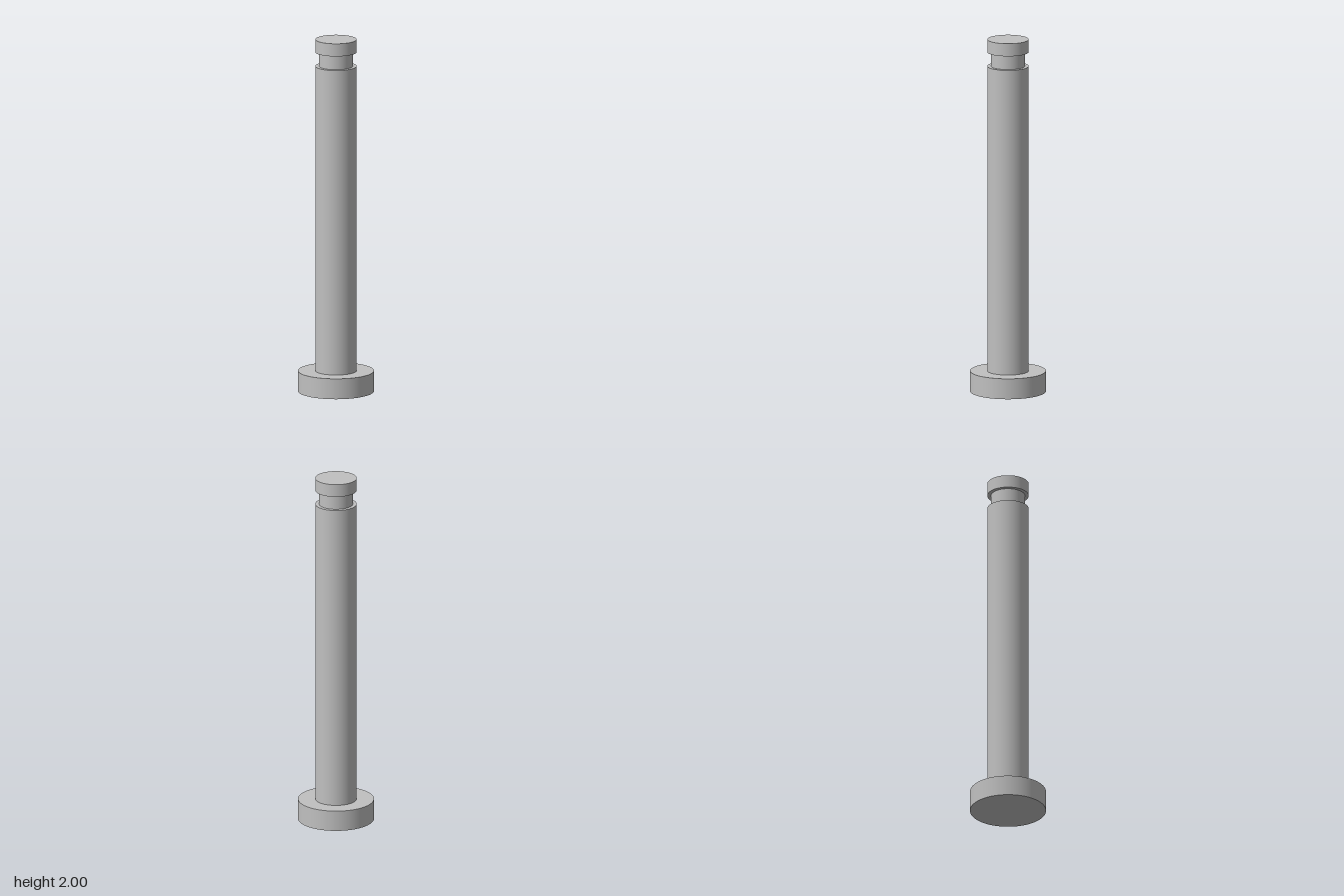
import * as THREE from 'three';

export function createModel() {
  const group = new THREE.Group();
  group.name = 'headedPin';
  const steel = new THREE.MeshStandardMaterial({ color: 0xc0c0c0 });
  steel.name = 'steelGrey';

  // Solid round section between two heights; hidden joint faces are left open
  const addSection = (name, radius, bottom, top) => {
    const geometry = new THREE.CylinderGeometry(radius, radius, top - bottom, 96);
    const mesh = new THREE.Mesh(geometry, steel);
    mesh.name = name;
    mesh.position.y = (bottom + top) / 2;
    group.add(mesh);
  };

  addSection('head', 0.211, 0, 0.116);
  addSection('shaft', 0.115, 0.116, 1.848);
  addSection('retainingGroove', 0.094, 1.848, 1.928);
  addSection('tip', 0.115, 1.928, 2);

  return group;
}
